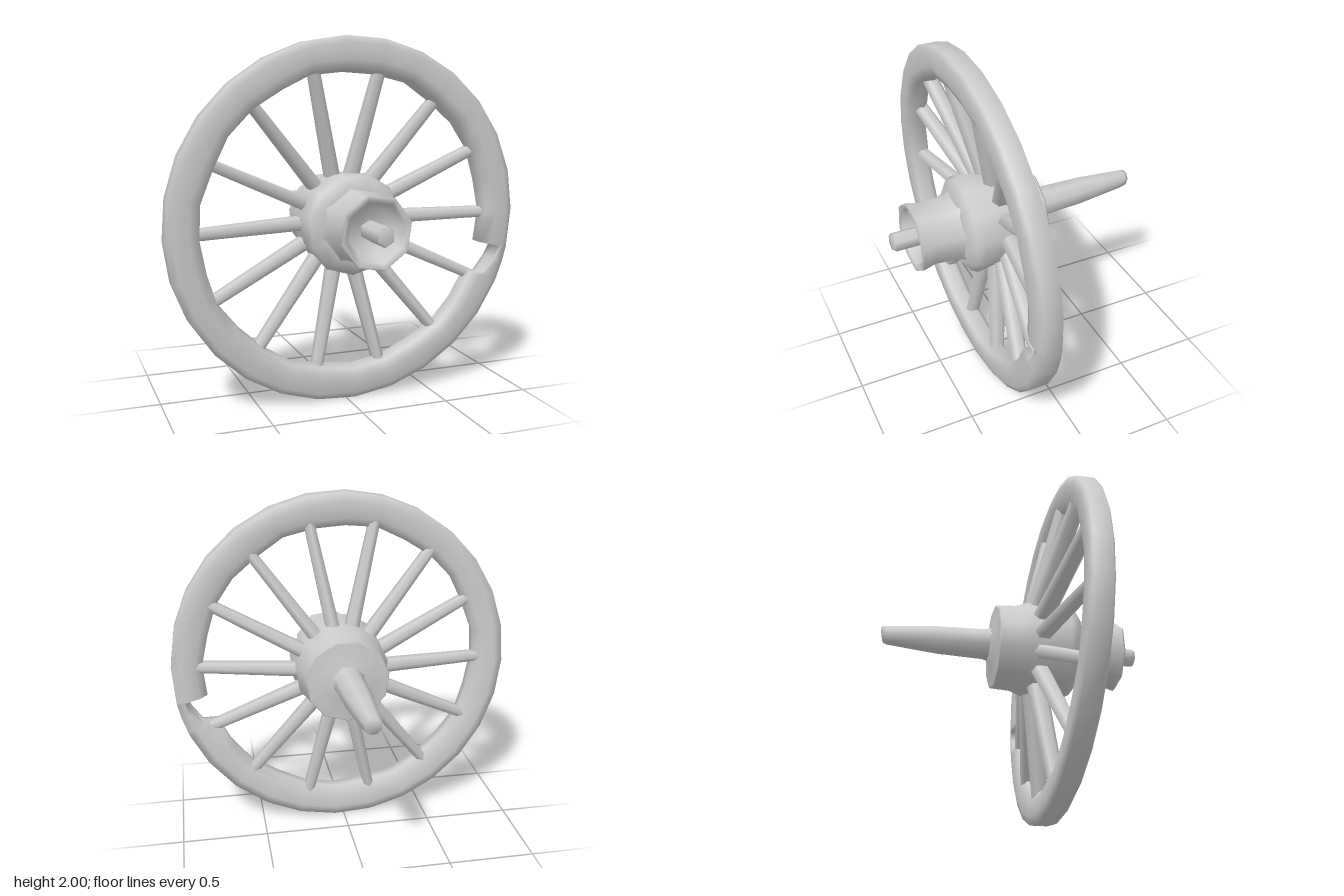
import * as THREE from 'three';

const material = new THREE.MeshStandardMaterial({ color: 0xcccccc, side: THREE.DoubleSide });
const HUB = [0.02, 1.0];
const rad = THREE.MathUtils.degToRad;
// The rim leans slightly forward at the top
const rimZ = (y) => 0.262 + 0.045 * (y - 1);

function add(parent, name, geometry) {
  const mesh = new THREE.Mesh(geometry, material);
  mesh.name = name;
  parent.add(mesh);
  return mesh;
}

// Turned part along z; profile is [radius, z] from back to front
function turned(parent, name, profile, sides, phase = 0) {
  const g = new THREE.LatheGeometry(profile.map(([r, z]) => new THREE.Vector2(r, z)), sides, phase);
  g.rotateX(Math.PI / 2);
  g.translate(HUB[0], HUB[1], 0);
  return add(parent, name, g);
}

// Rim swept as cross-sections, with a broken-out notch on its inner edge
function rimGeometry() {
  const section = [[1, 0.045], [0.965, 0.063], [0.88, 0.07], [0.825, 0.05],
    [0.815, -0.03], [0.86, -0.065], [0.95, -0.07], [1, -0.055]];
  const rings = []; // [angle in degrees, smallest radius]
  for (let i = 0; i <= 26; i++) rings.push([-10.8 + i * 12.9, 0]);
  rings.push([-23.5 + 360, 0], [-22 + 360, 0.9], [-16 + 360, 0.93], [-11 + 360, 0.95]);
  const positions = [], index = [], n = section.length;
  rings.forEach(([deg, minR], i) => {
    const a = rad(deg);
    const wobble = minR ? 0 : 0.008 * Math.sin(i * 2.3);
    section.forEach(([r0, dz], k) => {
      const inner = k > 1 && k < 6;
      const r = Math.max(r0 + (inner ? wobble : 0), minR);
      const y = 1 + r * Math.sin(a);
      positions.push(r * Math.cos(a), y, rimZ(y) + dz);
      const i2 = (i + 1) % rings.length, k2 = (k + 1) % n;
      index.push(i * n + k, i2 * n + k, i * n + k2, i2 * n + k, i2 * n + k2, i * n + k2);
    });
  });
  const g = new THREE.BufferGeometry();
  g.setAttribute('position', new THREE.Float32BufferAttribute(positions, 3));
  g.setIndex(index);
  g.computeVertexNormals();
  return g;
}

// Tapered spoke from the hub out to the rim, deeper than it is wide
function addSpoke(parent, angle) {
  const dx = Math.cos(angle), dy = Math.sin(angle);
  const start = new THREE.Vector3(HUB[0] + 0.22 * dx, HUB[1] + 0.22 * dy, 0.14);
  const endY = 1 + 0.86 * dy;
  const end = new THREE.Vector3(0.86 * dx, endY, rimZ(endY) - 0.015);
  const length = start.distanceTo(end);
  const g = new THREE.CylinderGeometry(0.034, 0.044, length, 6, 2, true);
  g.scale(1, 1, 1.35);
  const mesh = add(parent, 'spoke', g);
  const up = end.clone().sub(start).normalize();
  const side = new THREE.Vector3(-dy, dx, 0).negate();
  const depth = new THREE.Vector3().crossVectors(side, up);
  mesh.quaternion.setFromRotationMatrix(new THREE.Matrix4().makeBasis(side, up, depth));
  mesh.position.copy(start).add(end).multiplyScalar(0.5);
}

export function createModel() {
  const wheel = new THREE.Group();
  wheel.name = 'wheel';
  add(wheel, 'rim', rimGeometry());

  const spokes = new THREE.Group();
  spokes.name = 'spokes';
  wheel.add(spokes);
  for (let i = 0; i < 14; i++) addSpoke(spokes, rad(1.3) + (i * Math.PI * 2) / 14);

  // Hub drum, wider around the spoke roots
  turned(wheel, 'hub', [[0, -0.13], [0.09, -0.13], [0.125, -0.103], [0.235, -0.1], [0.243, -0.09],
    [0.25, 0.02], [0.275, 0.09], [0.27, 0.2], [0.285, 0.3], [0.265, 0.34], [0.2, 0.385], [0, 0.385]], 11);

  // Hollow cup on the front of the hub
  turned(wheel, 'hubCup', [[0.215, 0.36], [0.195, 0.41], [0.185, 0.55], [0.203, 0.62],
    [0.195, 0.632], [0.165, 0.62], [0.13, 0.53], [0, 0.51]], 8, 0.25);

  // Axle stub inside the cup
  turned(wheel, 'axleStub', [[0.05, 0.5], [0.056, 0.56], [0.056, 0.725], [0.045, 0.74], [0, 0.74]], 6);

  // Long tapered axle at the back, with a slanted tip
  const axle = turned(wheel, 'axle', [[0, -0.73], [0.045, -0.73], [0.052, -0.71], [0.078, -0.42],
    [0.086, -0.16], [0.1, -0.1]], 8, Math.PI / 8);
  const p = axle.geometry.attributes.position;
  for (let i = 0; i < p.count; i++) {
    const z = p.getZ(i);
    const t = THREE.MathUtils.clamp((-z - 0.1) / 0.63, 0, 1);
    p.setX(i, p.getX(i) - 0.012 * t);
    p.setY(i, p.getY(i) + 0.01);
    if (z < -0.7) p.setZ(i, z - 0.2 * (p.getY(i) - 1.01));
  }
  axle.geometry.computeVertexNormals();

  return wheel;
}
